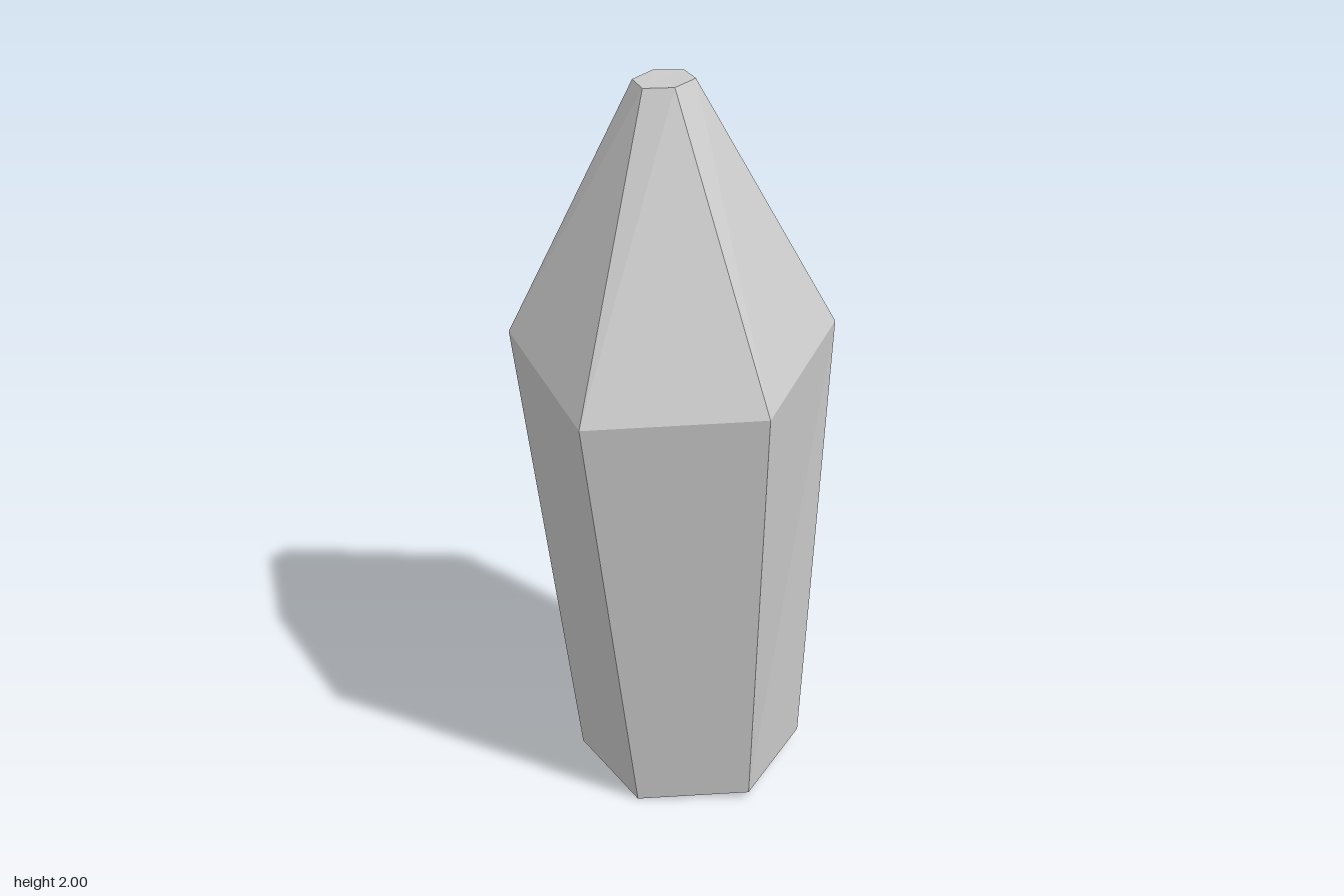
import * as THREE from 'three';

// Hexagonal cross-sections from base to tip, each counter-clockwise seen from above
const RINGS = [
  // slightly tilted base
  [[0.094, 0, 0.183], [0.285, 0.018, -0.06], [0.167, 0.036, -0.352],
   [-0.144, 0.04, -0.395], [-0.335, 0.024, -0.15], [-0.217, 0.004, 0.14]],
  // wide shoulder
  [[0.149, 1.24, 0.397], [0.433, 1.263, 0.032], [0.237, 1.35, -0.365],
   [-0.175, 1.39, -0.4], [-0.436, 1.355, -0.084], [-0.278, 1.33, 0.3]],
  // small blunt tip
  [[-0.01, 1.989, 0.069], [0.049, 1.995, 0.017], [0.034, 2, -0.061],
   [-0.04, 2, -0.086], [-0.1, 1.996, -0.036], [-0.084, 1.99, 0.042]],
];

// Joins the rings with quads and closes both ends with fans
function loft(rings) {
  const n = rings[0].length;
  const index = [];
  for (let r = 0; r < rings.length - 1; r++) {
    for (let i = 0; i < n; i++) {
      const j = (i + 1) % n;
      const a = r * n + i, b = r * n + j;
      index.push(a, b, b + n, a, b + n, a + n);
    }
  }
  const top = (rings.length - 1) * n;
  for (let i = 1; i < n - 1; i++) {
    index.push(0, i + 1, i);
    index.push(top, top + i, top + i + 1);
  }
  const indexed = new THREE.BufferGeometry();
  indexed.setAttribute('position', new THREE.Float32BufferAttribute(rings.flat(2), 3));
  indexed.setIndex(index);
  const geometry = indexed.toNonIndexed();
  geometry.computeVertexNormals();
  return geometry;
}

export function createModel() {
  const group = new THREE.Group();
  group.name = 'crystal';
  const material = new THREE.MeshStandardMaterial({ color: 0xcccccc, flatShading: true });
  const shard = new THREE.Mesh(loft(RINGS), material);
  shard.name = 'crystalShard';
  group.add(shard);
  return group;
}
